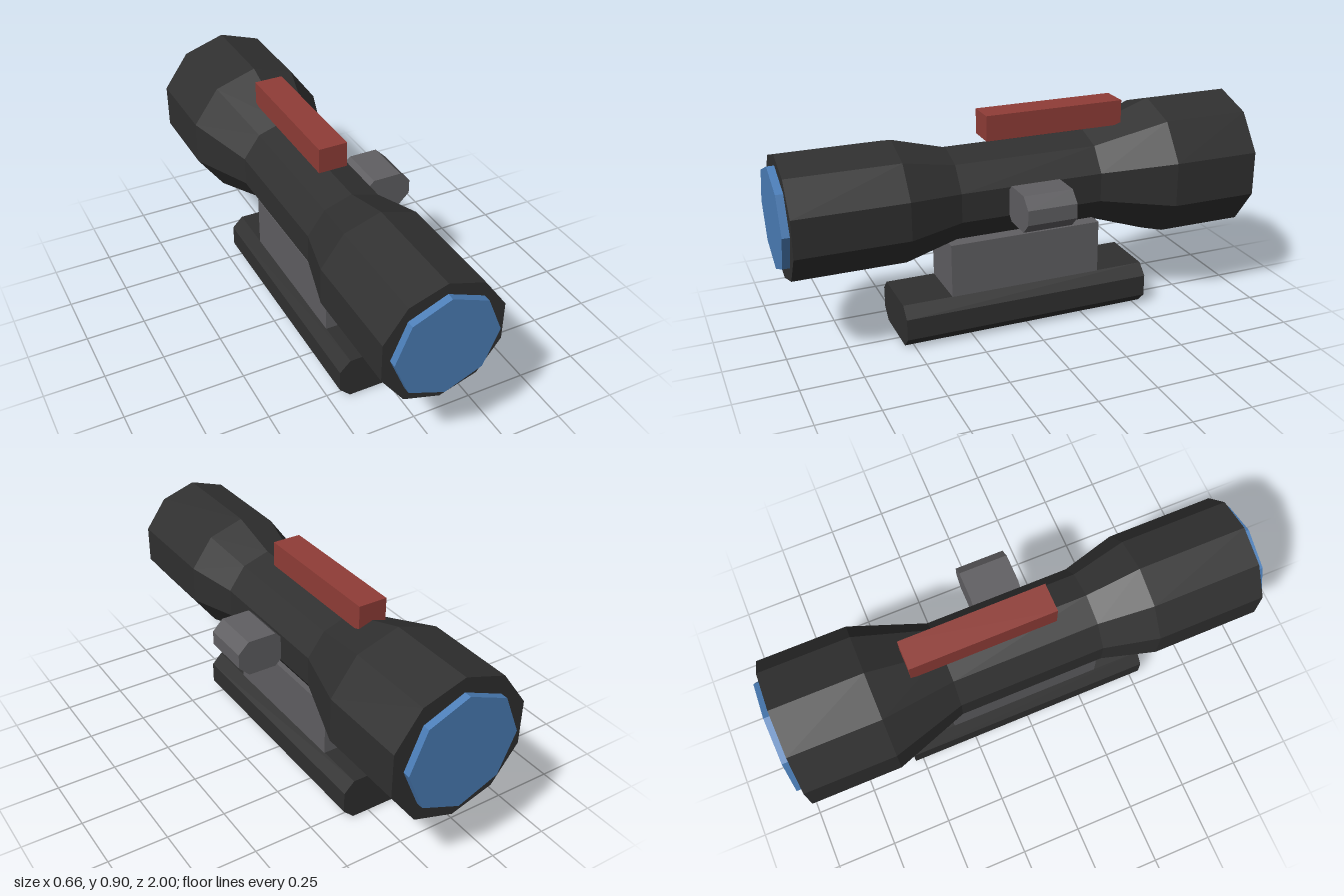
import * as THREE from 'three';

const AXIS_X = -0.045, AXIS_Y = 0.585;

function material(name, color) {
  const m = new THREE.MeshStandardMaterial({ color });
  m.name = name;
  return m;
}

// Faceted copy of a geometry: one normal per face
function faceted(geometry) {
  const g = geometry.index ? geometry.toNonIndexed() : geometry;
  g.computeVertexNormals();
  return g;
}

// Chamfered rectangle in x/y, extruded symmetrically along z
function chamferedBar(x0, x1, y0, y1, c, depth) {
  const shape = new THREE.Shape([
    [x0 + c, y0], [x1 - c, y0], [x1, y0 + c], [x1, y1 - c],
    [x1 - c, y1], [x0 + c, y1], [x0, y1 - c], [x0, y0 + c],
  ].map(([x, y]) => new THREE.Vector2(x, y)));
  return new THREE.ExtrudeGeometry(shape, { depth, bevelEnabled: false })
    .translate(0, 0, -depth / 2);
}

// Box given by its limits
function box(x0, x1, y0, y1, z0, z1) {
  return new THREE.BoxGeometry(x1 - x0, y1 - y0, z1 - z0)
    .translate((x0 + x1) / 2, (y0 + y1) / 2, (z0 + z1) / 2);
}

export function createModel() {
  const model = new THREE.Group();
  model.name = 'scope';

  const black = material('black', 0x303030);
  const grey = material('grey', 0x605f62);
  const blue = material('lens blue', 0x4b7eb8);
  const red = material('red', 0x903d37);

  const add = (name, geometry, mat) => {
    const mesh = new THREE.Mesh(faceted(geometry), mat);
    mesh.name = name;
    model.add(mesh);
  };

  // Ten-sided tube, waisted in the middle and wider at the back
  const profile = [
    [0, -0.97], [0.297, -0.97], [0.297, -0.6], [0.193, -0.3],
    [0.193, 0.3], [0.252, 0.52], [0.252, 0.97], [0, 0.97],
  ].map(([r, z]) => new THREE.Vector2(r, z));
  add('tube', new THREE.LatheGeometry(profile, 10)
    .rotateX(Math.PI / 2).translate(AXIS_X, AXIS_Y, 0), black);

  // Eight-sided lenses standing proud of both ends
  for (const [name, radius, z] of [['frontLens', 0.209, 0.98], ['rearLens', 0.237, -0.98]]) {
    add(name, new THREE.CylinderGeometry(radius, radius, 0.04, 8)
      .rotateX(Math.PI / 2).translate(AXIS_X, AXIS_Y, z), blue);
  }

  // Mount below the tube
  add('baseRail', chamferedBar(-0.21, 0.118, 0, 0.18, 0.045, 1.07), black);
  add('mountBlock', box(-0.165, 0.074, 0.17, 0.405, -0.327, 0.327), grey);

  // Adjustment knob on the left and marker bar on top
  add('sideKnob', chamferedBar(0.118, 0.328, 0.508, 0.658, 0.045, 0.206), grey);
  add('topBar', box(-0.105, 0.014, 0.8, 0.904, -0.446, 0.148), red);

  return model;
}
